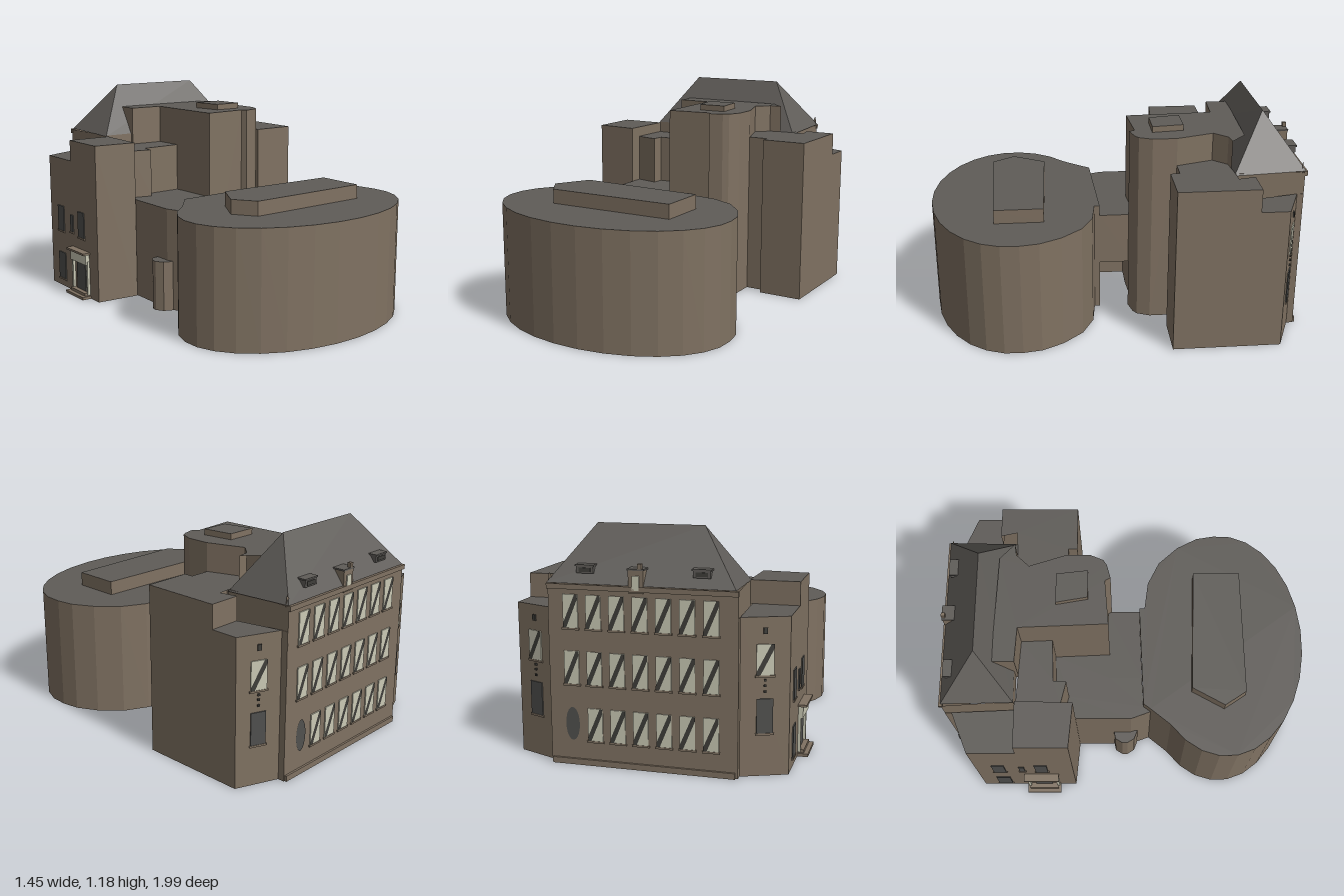
import * as THREE from 'three';

const mat = (name, color) => {
  const m = new THREE.MeshStandardMaterial({ color });
  m.name = name;
  m.side = THREE.DoubleSide;
  m.flatShading = true;
  return m;
};

export function createModel() {
  const model = new THREE.Group();
  model.name = 'building';
  const wall = mat('wall brown', 0x807262);
  const roof = mat('roof grey', 0x5f5c58);
  const pane = mat('pale pane', 0xcac9b5);
  const glass = mat('dark glass', 0x50504e);
  const dark = mat('dark trim', 0x3f3e3a);

  const add = (name, geo, material, parent = model) => {
    const m = new THREE.Mesh(geo, material);
    m.name = name;
    parent.add(m);
    return m;
  };
  const faces = (tris) => {
    const g = new THREE.BufferGeometry();
    g.setAttribute('position', new THREE.Float32BufferAttribute(tris.flat(2), 3));
    g.computeVertexNormals();
    return g;
  };
  const box = (name, w, h, d, x, y, z, material, parent) => {
    const m = add(name, new THREE.BoxGeometry(w, h, d), material, parent);
    m.position.set(x, y, z);
    return m;
  };

  // Upright block over an [x, z] outline, open underneath.
  // bases gives single edges their own lower end; an edge based at the top has no wall.
  const block = (name, outline, y0, y1, { bases = {}, cap = true, floor = false } = {}) => {
    const g = new THREE.Group();
    g.name = name;
    model.add(g);
    const tris = [];
    outline.forEach(([x, z], i) => {
      const [u, v] = outline[(i + 1) % outline.length];
      const low = bases[i] ?? y0;
      if (low >= y1) return;
      tris.push([[x, low, z], [u, low, v], [u, y1, v]], [[x, low, z], [u, y1, v], [x, y1, z]]);
    });
    add(name + 'Walls', faces(tris), wall, g);
    const shape = new THREE.Shape(outline.map(([x, z]) => new THREE.Vector2(x, -z)));
    const flat = new THREE.ShapeGeometry(shape).rotateX(-Math.PI / 2);
    if (cap) add(name + 'Roof', flat, roof, g).position.y = y1;
    if (floor) add(name + 'Underside', flat, roof, g).position.y = y0;
  };

  // Oval hall with a short neck at the back and a raised slab
  const oval = [[0.225, 0.07], [0.225, 0.1], [0.38, 0.12], [0.51, 0.185], [0.61, 0.295], [0.67, 0.41]];
  for (let i = 0; i <= 18; i++) {
    const a = -0.08 + (i / 18) * (Math.PI + 0.83);
    oval.push([0.02 + 0.669 * Math.cos(a), 0.547 + 0.45 * Math.sin(a)]);
  }
  oval.push([-0.38, 0.13], [-0.35, 0.09]);
  block('ovalHall', oval, 0, 0.628, { bases: { [oval.length - 1]: 0.57 } });
  block('hallSlab', [[-0.38, 0.54], [-0.28, 0.36], [0.41, 0.38], [0.41, 0.645], [-0.3, 0.66]], 0.628, 0.705);

  // Link between the hall and the tower
  block('linkPassage', [[-0.42, -0.36], [-0.29, -0.33], [-0.285, -0.4], [-0.05, -0.41], [-0.04, -0.1], [-0.18, -0.1],
    [-0.18, 0.083], [-0.35, 0.09], [-0.38, 0.13], [-0.42, 0.02]], 0, 0.57,
  { bases: { 0: 1, 1: 1, 2: 1, 3: 1, 6: 1, 7: 1 } });
  block('linkBridge', [[-0.18, -0.11], [0.225, -0.11], [0.225, 0.07], [-0.18, 0.083]], 0.28, 0.57,
    { bases: { 0: 1, 2: 1, 3: 1 }, floor: true });
  block('stairBay', [[-0.41, -0.08], [-0.46, -0.07], [-0.485, -0.03], [-0.485, 0], [-0.46, 0.04], [-0.41, 0.06]],
    0, 0.28, { bases: { 5: 1 } });

  // Tower and the lower block beside it
  block('tower', [[-0.04, -0.1], [0.21, -0.12], [0.225, -0.09], [0.3, -0.11], [0.33, -0.13], [0.36, -0.2], [0.36, -0.33],
    [0.295, -0.53], [0.36, -0.6], [0.425, -0.61], [0.34, -0.69], [-0.25, -0.71], [-0.25, -0.59], [-0.06, -0.58]],
  0, 1.058, { bases: { 6: 0.9, 7: 0.9, 8: 0.9, 9: 2, 10: 2, 11: 0.8, 12: 0.8, 13: 0.57 } });
  block('towerVent', [[0.07, -0.38], [0.235, -0.38], [0.255, -0.21], [0.1, -0.21]], 1.058, 1.09);
  block('sideBlock', [[-0.42, -0.6], [-0.06, -0.58], [-0.05, -0.41], [-0.285, -0.4], [-0.29, -0.33], [-0.42, -0.36]],
    0, 0.842, { bases: { 0: 1, 1: 1, 2: 0.57, 3: 0.57, 4: 0.57, 5: 1 } });

  // Wings: a tall front part and a lower rear part with a slanted back wall
  block('rightWing', [[-0.67, -0.6], [-0.415, -0.6], [-0.425, -0.29], [-0.67, -0.31]], 0, 0.9, { bases: { 0: 0.78 } });
  block('rightWingRear', [[-0.67, -0.86], [-0.445, -0.95], [-0.43, -0.6], [-0.67, -0.6]], 0, 0.78,
    { bases: { 1: 1, 2: 1 } });
  block('leftWing', [[0.55, -0.71], [0.72, -0.71], [0.72, -0.28], [0.47, -0.28], [0.47, -0.33], [0.36, -0.33],
    [0.295, -0.53], [0.36, -0.6], [0.425, -0.61], [0.57, -0.62]], 0, 0.905,
  { bases: { 0: 0.78, 5: 1, 6: 1, 7: 1, 8: 1, 9: 1 } });
  block('leftWingRear', [[0.5, -0.95], [0.72, -0.86], [0.72, -0.71], [0.55, -0.71]], 0, 0.78, { bases: { 2: 1, 3: 1 } });

  // Main body and hipped roof
  block('mainBody', [[-0.42, -0.605], [0.5, -0.605], [0.5, -0.985], [-0.445, -0.985]], 0, 0.905,
    { bases: { 0: 0.8, 1: 0.7, 3: 0.7 }, cap: false });
  [-0.445, 0.5].forEach((x) => box('cornerReturn', 0.004, 0.78, 0.035, x, 0.39, -0.967, wall));
  const fl = [-0.425, 0.9, -0.605], fr = [0.505, 0.895, -0.61], bl = [-0.435, 0.91, -0.988], br = [0.505, 0.91, -0.988];
  const rl = [-0.235, 1.185, -0.785], rr = [0.31, 1.185, -0.785];
  add('hippedRoof', faces([[fl, fr, rr], [fl, rr, rl], [br, bl, rl], [br, rl, rr], [bl, fl, rl], [fr, br, rr]]), roof);
  box('cornice', 0.95, 0.025, 0.02, 0.028, 0.895, -0.988, wall);

  // Dormers and central gable
  [-0.265, 0.315].forEach((x) => {
    box('dormer', 0.085, 0.035, 0.06, x, 0.975, -0.935, roof);
    box('dormerCap', 0.095, 0.008, 0.07, x, 0.996, -0.935, roof);
    box('dormerGlass', 0.06, 0.02, 0.006, x, 0.975, -0.966, dark);
  });
  box('centralGable', 0.075, 0.11, 0.08, 0.05, 0.93, -0.952, wall);
  box('centralGableCap', 0.085, 0.008, 0.09, 0.05, 0.989, -0.95, roof);
  box('centralGableGlass', 0.035, 0.07, 0.006, 0.05, 0.925, -0.995, pane);
  box('finial', 0.02, 0.025, 0.02, 0.03, 1.005, -0.985, wall);
  add('cornerParapet', faces([[[0.46, 0.9, -0.97], [0.505, 0.9, -0.97], [0.497, 0.96, -0.97]]]), wall);

  // Group whose +z looks out of a wall
  const wallFace = (name, x, z, nx, nz) => {
    const g = new THREE.Group();
    g.name = name;
    g.position.set(x, 0, z);
    g.rotation.y = Math.atan2(nx, nz);
    model.add(g);
    return g;
  };
  // Pale pane with a dark diagonal, or a plain dark pane
  const addWindow = (parent, x, y, w, h, pale = true) => {
    box('windowPane', w, h, 0.006, x, y, 0.003, pale ? pane : glass, parent);
    box('windowSill', w + 0.012, 0.01, 0.009, x, y - h / 2 - 0.005, 0.004, wall, parent);
    if (!pale) return;
    const s = new THREE.Shape([[-0.5, -0.5], [-0.28, -0.5], [0.5, 0.36], [0.5, 0.5], [0.32, 0.5], [-0.5, -0.38]]
      .map(([u, v]) => new THREE.Vector2(u * w, v * h)));
    add('windowDiagonal', new THREE.ShapeGeometry(s), dark, parent).position.set(x, y, 0.0075);
  };

  // Back facade: three rows of windows, one of them oval
  const facade = wallFace('backFacade', 0.03, -0.985, 0, -1);
  [0.21, 0.495, 0.775].forEach((y, row) => {
    for (let i = 0; i < 7; i++) {
      const x = -0.355 + i * 0.117;
      if (row === 0 && i === 0) {
        const o = add('ovalWindow', new THREE.CircleGeometry(1, 20), glass, facade);
        o.scale.set(0.036, 0.085, 1);
        o.position.set(x, y, 0.005);
      } else addWindow(facade, x, y, 0.076, 0.165);
    }
  });
  box('plinth', 0.93, 0.03, 0.012, 0, 0.015, 0.005, wall, facade);

  // Slanted wing walls: a pale window over a dark one
  [['rightWingBack', -0.5575, -0.905, -0.09, -0.225], ['leftWingBack', 0.61, -0.905, 0.09, -0.22]].forEach((a) => {
    const g = wallFace(...a);
    addWindow(g, 0, 0.575, 0.085, 0.15);
    addWindow(g, 0, 0.3, 0.08, 0.17, false);
    box('wallOrnament', 0.02, 0.03, 0.008, 0, 0.715, 0.004, dark, g);
    [0.42, 0.45, 0.475].forEach((y) => box('wallStud', 0.012, 0.01, 0.008, 0, y, 0.004, dark, g));
  });

  // Entrance side: dark windows, door, canopy and steps
  const side = wallFace('entranceSide', -0.67, -0.58, -1, 0);
  addWindow(side, -0.15, 0.42, 0.07, 0.15, false);
  addWindow(side, 0.09, 0.42, 0.07, 0.15, false);
  addWindow(side, -0.02, 0.41, 0.03, 0.1, false);
  addWindow(side, -0.15, 0.13, 0.08, 0.16, false);
  box('entranceDoor', 0.1, 0.18, 0.006, 0.08, 0.12, 0.003, glass, side);
  box('canopy', 0.2, 0.012, 0.045, 0.08, 0.267, 0.0225, wall, side);
  box('canopyFascia', 0.18, 0.06, 0.025, 0.08, 0.23, 0.0125, pane, side);
  [-0.005, 0.165].forEach((x) => box('doorPost', 0.015, 0.2, 0.015, x, 0.12, 0.0075, pane, side));
  box('lowerStep', 0.2, 0.016, 0.055, 0.08, 0.008, 0.0275, wall, side);
  box('upperStep', 0.17, 0.016, 0.032, 0.08, 0.024, 0.016, wall, side);

  return model;
}
